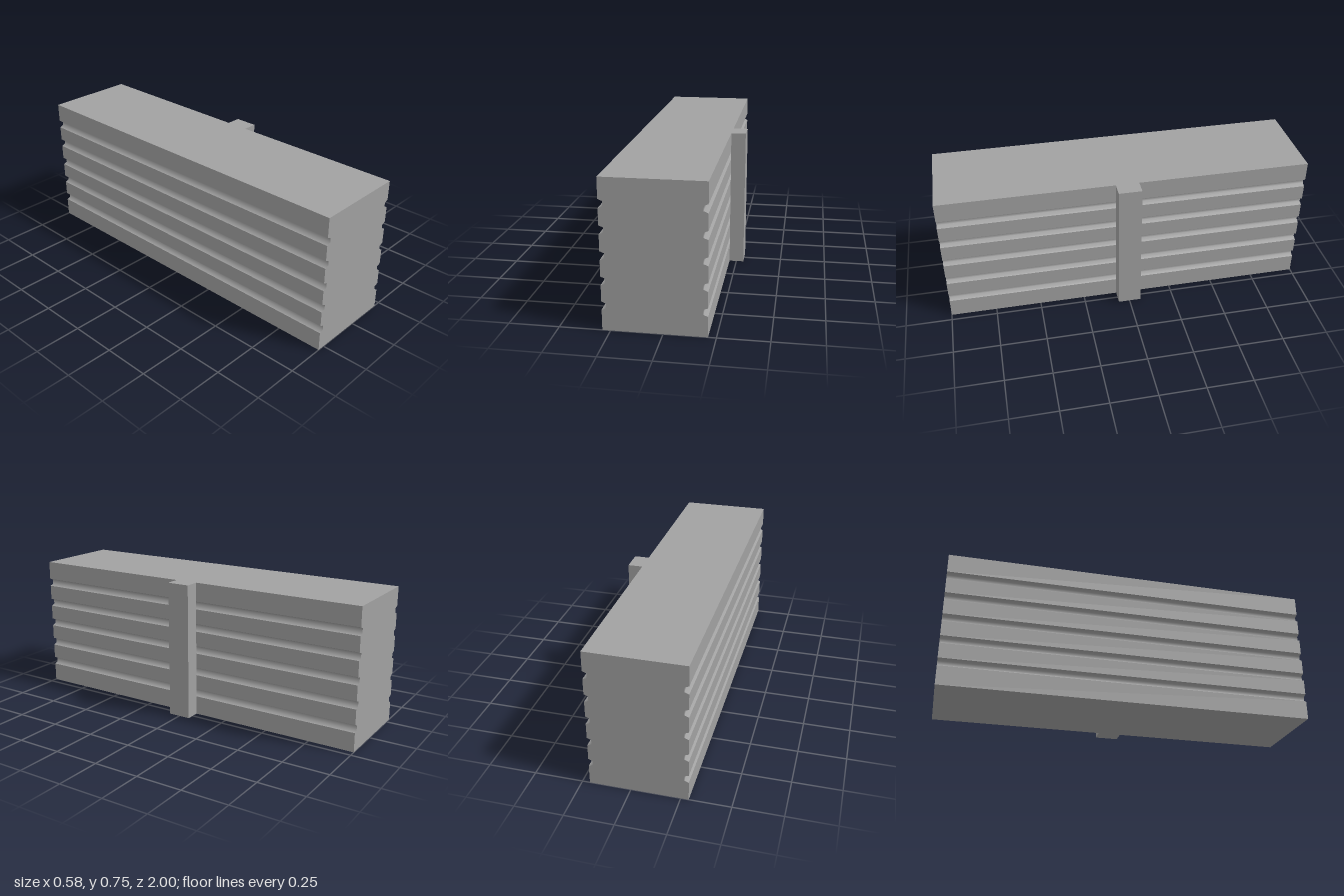
import * as THREE from 'three';

const LEFT = 0.211, RIGHT = -0.29, HEIGHT = 0.75, LENGTH = 2;
const GROOVES = 5, PITCH = 0.125;
const DEPTH = 0.022, MOUTH = 0.0215, FLOOR = 0.0125;

// Corner points of one grooved side, from bottom to top; dir points into the body
function groovedSide(x, dir) {
  const points = [new THREE.Vector2(x, 0)];
  for (let i = 1; i <= GROOVES; i++) {
    const y = i * PITCH;
    points.push(
      new THREE.Vector2(x, y - MOUTH),
      new THREE.Vector2(x + dir * DEPTH, y - FLOOR),
      new THREE.Vector2(x + dir * DEPTH, y + FLOOR),
      new THREE.Vector2(x, y + MOUTH),
    );
  }
  points.push(new THREE.Vector2(x, HEIGHT));
  return points;
}

// Shade each groove as one smooth hollow: normals at the floor corners lie
// halfway between floor and slope, while the mouth edges stay sharp
function smoothGrooves(geometry) {
  const { position, normal } = geometry.attributes;
  const slopeAngle = Math.atan2(DEPTH, MOUTH - FLOOR);
  for (let i = 0; i < position.count; i++) {
    const x = position.getX(i), y = position.getY(i);
    const onFloor = x > RIGHT + DEPTH / 2 && x < LEFT - DEPTH / 2;
    if (!onFloor || Math.abs(normal.getZ(i)) > 0.5) continue;
    const up = Math.sign(Math.round(y / PITCH) * PITCH - y);
    normal.setXYZ(i, Math.sign(x) * Math.cos(slopeAngle / 2), up * Math.sin(slopeAngle / 2), 0);
  }
}

export function createModel() {
  const model = new THREE.Group();
  model.name = 'groovedBlock';
  const material = new THREE.MeshStandardMaterial({ color: 0xa1a1a1 });

  // Long block with grooves running along both sides
  const profile = new THREE.Shape([
    ...groovedSide(LEFT, -1),
    ...groovedSide(RIGHT, 1).reverse(),
  ]);
  const bodyGeometry = new THREE.ExtrudeGeometry(profile, { depth: LENGTH, bevelEnabled: false });
  bodyGeometry.translate(0, 0, -LENGTH / 2);
  smoothGrooves(bodyGeometry);
  const body = new THREE.Mesh(bodyGeometry, material);
  body.name = 'groovedBody';
  model.add(body);

  // Upright rib at the middle of the left side; the grooves pass behind it
  const ribDepth = -RIGHT - LEFT;
  const rib = new THREE.Mesh(new THREE.BoxGeometry(ribDepth, HEIGHT, 0.125), material);
  rib.name = 'uprightRib';
  rib.position.set(LEFT + ribDepth / 2, HEIGHT / 2, 0);
  model.add(rib);

  return model;
}
